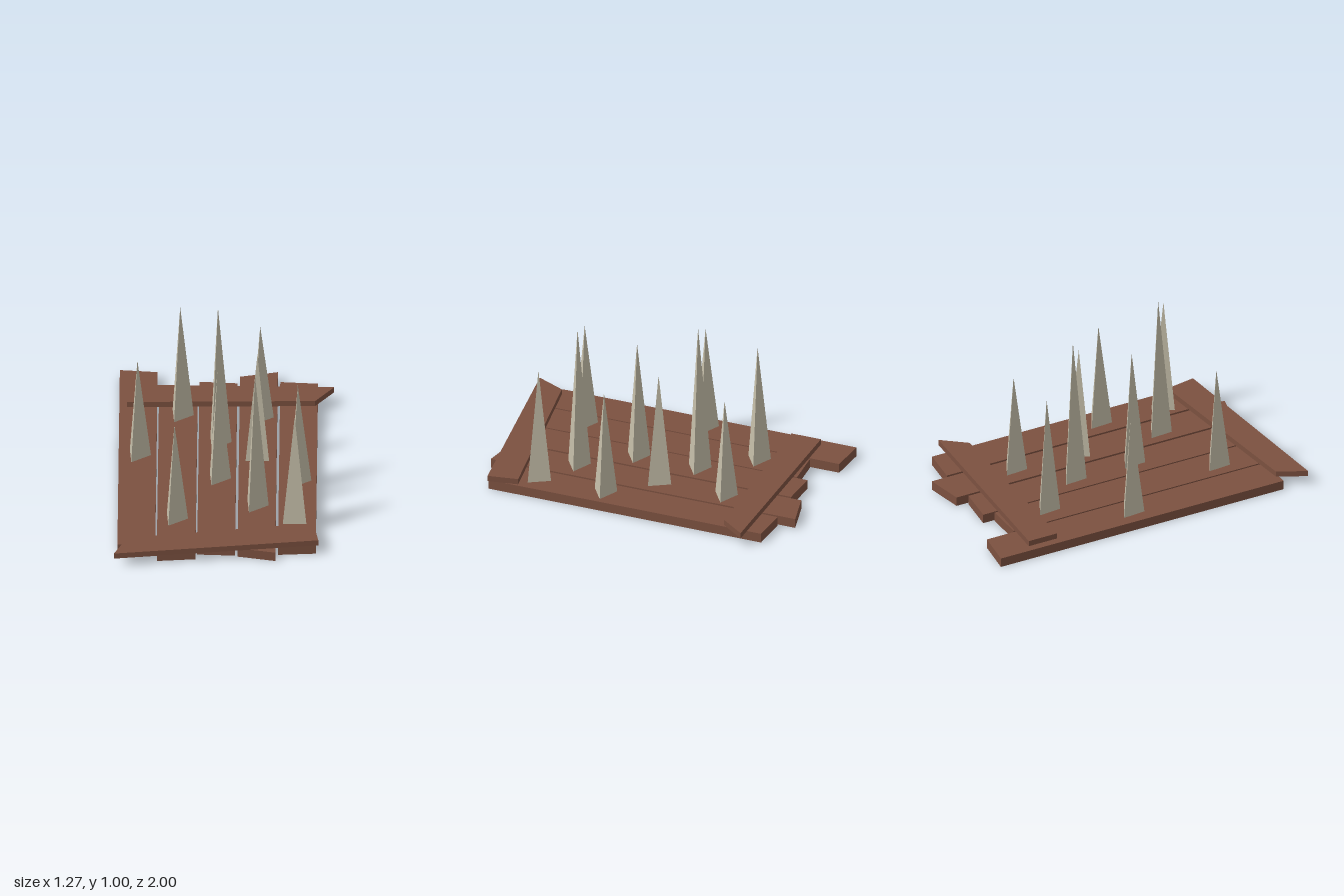
import * as THREE from 'three';

const PLANK_TOP = 0.058;
const BAR_TOP = 0.093;

// Flat board from its [x, z] outline, between two heights
function board(name, outline, bottom, top, material) {
  const shape = new THREE.Shape(outline.map(([x, z]) => new THREE.Vector2(x, -z)));
  const geometry = new THREE.ExtrudeGeometry(shape, { depth: top - bottom, bevelEnabled: false });
  geometry.rotateX(-Math.PI / 2);
  geometry.translate(0, bottom, 0);
  const mesh = new THREE.Mesh(geometry, material);
  mesh.name = name;
  return mesh;
}

// Three-sided spike standing on the planks
function spike(x, z, tip, degrees, material) {
  const base = PLANK_TOP - 0.004;
  const height = tip - base;
  const geometry = new THREE.ConeGeometry(0.08, height, 3);
  geometry.translate(0, height / 2, 0);
  const mesh = new THREE.Mesh(geometry, material);
  mesh.name = 'spike';
  mesh.position.set(x, base, z);
  mesh.rotation.y = THREE.MathUtils.degToRad(degrees);
  return mesh;
}

export function createModel() {
  const model = new THREE.Group();
  model.name = 'spikeTrap';
  const wood = new THREE.MeshStandardMaterial({ color: 0x7c5140, flatShading: true });
  const bone = new THREE.MeshStandardMaterial({ color: 0xc6bfaa, flatShading: true });

  // Lengthwise planks: left x, right x, back z at each side, front z at each side
  const planks = new THREE.Group();
  planks.name = 'planks';
  [
    [-0.615, -0.395, -1.0, -0.98, 0.845, 0.83],
    [-0.385, -0.16, -0.8, -0.81, 0.93, 0.91],
    [-0.15, 0.07, -0.88, -0.865, 0.86, 0.87],
    [0.085, 0.305, -0.935, -0.985, 0.88, 0.925],
    [0.32, 0.54, -0.88, -0.865, 0.86, 0.845],
  ].forEach(([x0, x1, b0, b1, f0, f1]) => {
    planks.add(board('plank', [[x0, b0], [x1, b1], [x1, f1], [x0, f0]], 0, PLANK_TOP, wood));
  });
  model.add(planks);

  // Crossbars lying over the planks
  model.add(board('backCrossbar',
    [[-0.57, -0.795], [0.635, -0.775], [0.525, -0.628], [-0.57, -0.61]], PLANK_TOP, BAR_TOP, wood));
  model.add(board('frontCrossbar',
    [[-0.555, 0.825], [0.525, 0.665], [0.555, 0.845], [-0.635, 0.995]], PLANK_TOP, BAR_TOP, wood));

  // Spikes: x, z, tip height, turn
  const spikes = new THREE.Group();
  spikes.name = 'spikes';
  [
    [-0.26, -0.522, 0.815, 94],
    [0.206, -0.502, 0.695, 94],
    [-0.038, -0.238, 1.0, 94],
    [-0.506, -0.097, 0.72, 94],
    [0.193, -0.083, 0.77, 180],
    [-0.038, 0.145, 0.815, 94],
    [0.43, 0.165, 0.725, 94],
    [0.183, 0.43, 0.965, 94],
    [-0.285, 0.573, 0.715, 94],
    [0.415, 0.582, 0.78, 180],
  ].forEach(([x, z, tip, turn]) => spikes.add(spike(x, z, tip, turn, bone)));
  model.add(spikes);

  return model;
}
